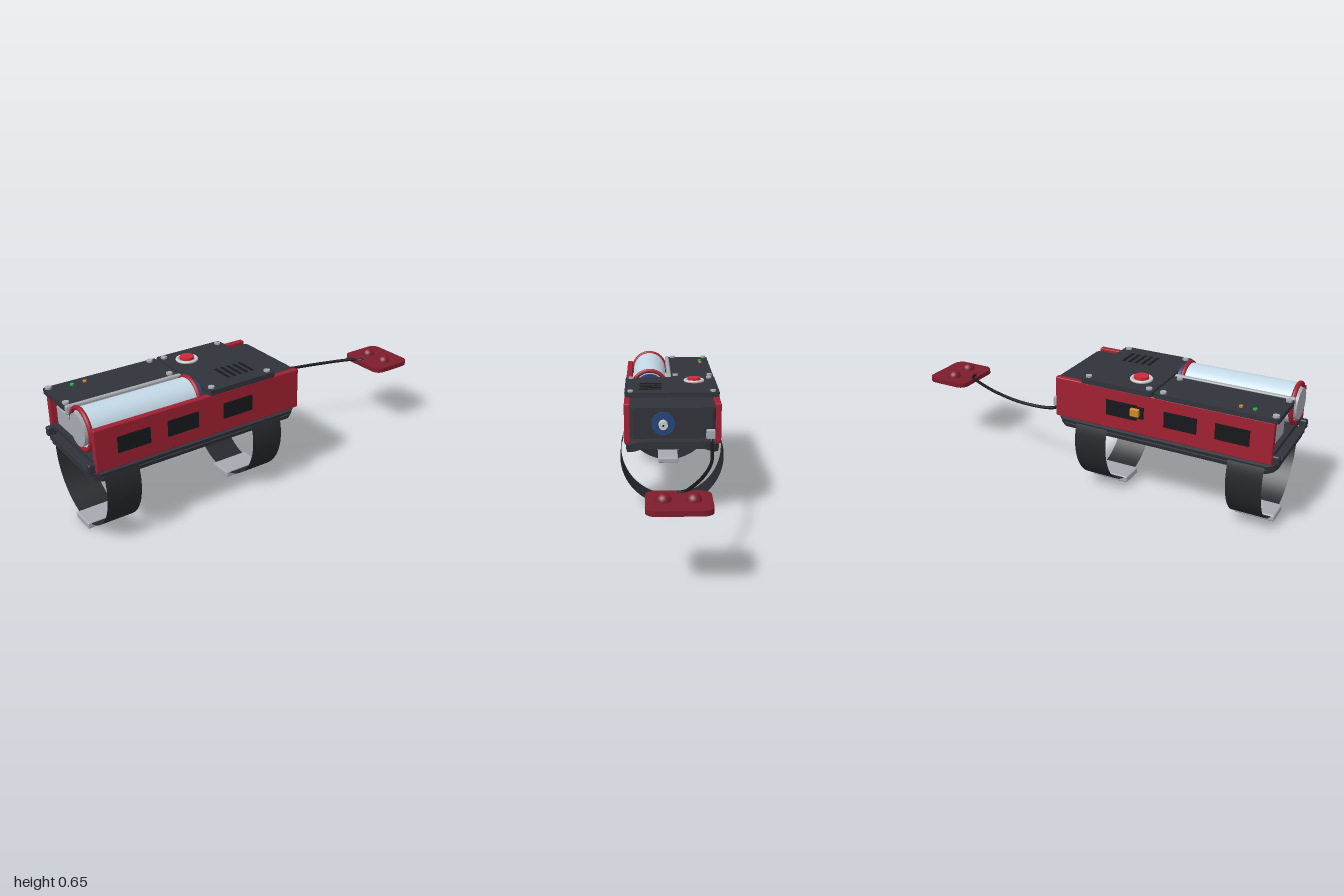
import * as THREE from 'three';
import { RoundedBoxGeometry } from 'three/addons/geometries/RoundedBoxGeometry.js';

const mat = (color) => new THREE.MeshStandardMaterial({ color });
const M = {
  dark: mat(0x30333a), black: mat(0x17181b), red: mat(0xa02032), maroon: mat(0x7c1c2c),
  grey: mat(0xa5a9b0), silver: mat(0xc4c6c8), blue: mat(0x26457a), glass: mat(0xc3d8e6),
  orange: mat(0xd08820), green: mat(0x30b050), button: mat(0xd0283c),
};
const strapMat = new THREE.MeshStandardMaterial({ color: 0x26282d, side: THREE.DoubleSide });

export function createModel() {
  const model = new THREE.Group();

  const add = (name, geo, material, x = 0, y = 0, z = 0) => {
    const m = new THREE.Mesh(geo, material);
    m.name = name;
    m.position.set(x, y, z);
    model.add(m);
    return m;
  };
  // box given by its limits on each axis, optionally rounded
  const box = (name, material, [x0, x1], [y0, y1], [z0, z1], r = 0) => {
    const s = [x1 - x0, y1 - y0, z1 - z0];
    const geo = r ? new RoundedBoxGeometry(...s, 3, r) : new THREE.BoxGeometry(...s);
    return add(name, geo, material, (x0 + x1) / 2, (y0 + y1) / 2, (z0 + z1) / 2);
  };
  const discY = (name, material, r, h, x, y, z) =>
    add(name, new THREE.CylinderGeometry(r, r, h, 32), material, x, y, z);
  const discX = (name, material, r, x0, x1, y, z) =>
    add(name, new THREE.CylinderGeometry(r, r, x1 - x0, 48).rotateZ(Math.PI / 2), material, (x0 + x1) / 2, y, z);
  // flat slab with rounded corners in plan
  const slab = (name, material, [x0, x1], [y0, y1], [z0, z1], r) => {
    const w = (x1 - x0) / 2, d = (z1 - z0) / 2, s = new THREE.Shape();
    s.absarc(w - r, d - r, r, 0, Math.PI / 2);
    s.absarc(-w + r, d - r, r, Math.PI / 2, Math.PI);
    s.absarc(-w + r, -d + r, r, Math.PI, Math.PI * 1.5);
    s.absarc(w - r, -d + r, r, Math.PI * 1.5, Math.PI * 2);
    const geo = new THREE.ExtrudeGeometry(s, { depth: y1 - y0, bevelEnabled: false, curveSegments: 6 });
    return add(name, geo.rotateX(-Math.PI / 2), material, (x0 + x1) / 2, y0, (z0 + z1) / 2);
  };

  // bent base plate: rectangular sections lofted along z, narrowing at the rounded corners
  const bentPlate = (name, material, top, thick, inset) => {
    const half = [[0.165, 0, 0], [0.19, 0.01, 0.004], [0.215, 0.019, 0.018], [0.234, 0.027, 0.05]];
    const stations = [...half.slice().reverse().map(([z, d, e]) => [-z, d, e]), ...half];
    const pos = [], idx = [];
    stations.forEach(([z, drop, cut]) => {
      const x0 = -1 + inset + cut, x1 = 0.13 - inset - cut, y = top - drop;
      const zb = (z - Math.sign(z) * thick * 0.35);
      pos.push(x0, y, z, x1, y, z, x1, y - thick, zb, x0, y - thick, zb);
    });
    const n = stations.length;
    for (let i = 0; i < n - 1; i++) for (let k = 0; k < 4; k++) {
      const a = i * 4 + k, b = i * 4 + (k + 1) % 4;
      idx.push(a, a + 4, b, b, a + 4, b + 4);
    }
    const e = (n - 1) * 4;
    idx.push(0, 1, 2, 0, 2, 3, e, e + 2, e + 1, e, e + 3, e + 2);
    let geo = new THREE.BufferGeometry();
    geo.setAttribute('position', new THREE.Float32BufferAttribute(pos, 3));
    geo.setIndex(idx);
    geo = geo.toNonIndexed();
    geo.computeVertexNormals();
    add(name, geo, material);
  };
  bentPlate('basePlate', M.dark, 0.402, 0.018, 0);
  bentPlate('basePad', M.dark, 0.382, 0.02, 0.008);

  // straps and buckles
  for (const x of [-0.86, -0.085]) {
    const strap = new THREE.CylinderGeometry(0.265, 0.265, 0.168, 64, 1, true, Math.PI - 0.35, Math.PI + 0.7);
    add('strap', strap.rotateZ(Math.PI / 2), strapMat, x, 0.285, 0);
    box('buckle', M.grey, [x - 0.1, x + 0.1], [0, 0.033], [-0.062, 0.062], 0.008);
  }

  // main housing, tray and inner pack
  slab('housing', M.dark, [-0.39, 0.13], [0.42, 0.575], [-0.212, 0.212], 0.02);
  box('trayFloor', M.dark, [-0.97, -0.38], [0.42, 0.44], [-0.212, 0.212]);
  box('innerPack', M.grey, [-0.95, -0.39], [0.44, 0.54], [-0.19, -0.01], 0.01);
  discY('topHub', M.dark, 0.03, 0.016, -0.2, 0.582, 0.08);

  // side panels with dark windows
  for (const s of [-1, 1]) {
    box('sidePanel', M.red, [-0.97, 0.118], [0.39, 0.592], s > 0 ? [0.21, 0.24] : [-0.24, -0.21], 0.005);
    box('railEnd', M.dark, [-1, -0.96], [0.385, 0.43], s > 0 ? [0.195, 0.225] : [-0.225, -0.195], 0.008);
    for (const x of [-0.785, -0.537, -0.24])
      box('sideWindow', M.black, [x - 0.08, x + 0.08], [0.458, 0.535], s > 0 ? [0.235, 0.245] : [-0.245, -0.235]);
  }
  box('switchBase', M.black, [-0.355, -0.27], [0.475, 0.53], [-0.251, -0.24]);
  box('switchKnob', M.orange, [-0.34, -0.295], [0.487, 0.526], [-0.268, -0.25], 0.004);

  // lids with bolts
  slab('rightLid', M.dark, [-0.392, -0.022], [0.59, 0.615], [-0.242, 0.24], 0.012);
  slab('leftLid', M.dark, [-0.985, -0.4], [0.59, 0.613], [-0.24, -0.008], 0.012);
  const bolts = [];
  for (const x of [-0.365, -0.05]) for (const z of [-0.21, 0.21]) bolts.push([x, z]);
  for (const x of [-0.965, -0.44]) for (const z of [-0.218, -0.032]) bolts.push([x, z]);
  for (const [x, z] of bolts) discY('bolt', M.grey, 0.015, 0.012, x, 0.617, z);

  // push button, vent slots and indicator lights
  discY('buttonBase', M.grey, 0.048, 0.01, -0.285, 0.619, -0.125);
  add('buttonRing', new THREE.TorusGeometry(0.048, 0.007, 12, 40).rotateX(Math.PI / 2), M.silver, -0.285, 0.621, -0.125);
  discY('button', M.button, 0.035, 0.018, -0.285, 0.628, -0.125);
  for (let i = 0; i < 5; i++) {
    const x = -0.235 + i * 0.034;
    box('ventSlot', M.black, [x - 0.007, x + 0.007], [0.612, 0.617], [0.05, 0.165]);
  }
  discY('greenLight', M.green, 0.009, 0.012, -0.862, 0.615, -0.19);
  discY('orangeLight', M.orange, 0.009, 0.012, -0.798, 0.615, -0.19);

  // glass canister with red end rings
  discX('canister', M.glass, 0.094, -0.965, -0.425, 0.55, 0.11);
  for (const x of [-0.965, -0.425])
    add('canisterRing', new THREE.TorusGeometry(0.094, 0.011, 14, 56).rotateY(Math.PI / 2), M.red, x, 0.55, 0.11);
  discX('canisterLeftCap', M.grey, 0.075, -0.985, -0.96, 0.55, 0.11);
  discX('canisterRightCap', M.blue, 0.077, -0.43, -0.392, 0.55, 0.11);
  box('canisterRail', M.grey, [-0.985, -0.4], [0.575, 0.621], [-0.008, 0.014], 0.008);

  // dial on the end face
  discX('dial', M.blue, 0.058, 0.125, 0.143, 0.498, 0.048);
  discX('dialHub', M.silver, 0.022, 0.14, 0.177, 0.498, 0.048);
  discX('dialHole', M.black, 0.005, 0.17, 0.178, 0.498, 0.048);

  // cable from the connector to the remote
  box('connector', M.grey, [0.118, 0.155], [0.421, 0.466], [-0.208, -0.164], 0.004);
  const path = new THREE.CatmullRomCurve3([
    [0.135, 0.425, -0.189], [0.15, 0.405, -0.189], [0.2, 0.39, -0.188], [0.38, 0.377, -0.172],
    [0.58, 0.377, -0.12], [0.73, 0.382, -0.06], [0.78, 0.382, -0.03], [0.79, 0.38, 0.005],
  ].map((p) => new THREE.Vector3(...p)));
  add('cable', new THREE.TubeGeometry(path, 80, 0.008, 10), M.black);

  // hand remote with two domed buttons
  slab('remote', M.maroon, [0.765, 1], [0.357, 0.381], [-0.14, 0.138], 0.045);
  for (const z of [-0.062, 0.062])
    add('remoteButton', new THREE.SphereGeometry(0.033, 28, 12, 0, Math.PI * 2, 0, Math.PI / 2), M.maroon, 0.88, 0.38, z);

  return model;
}
